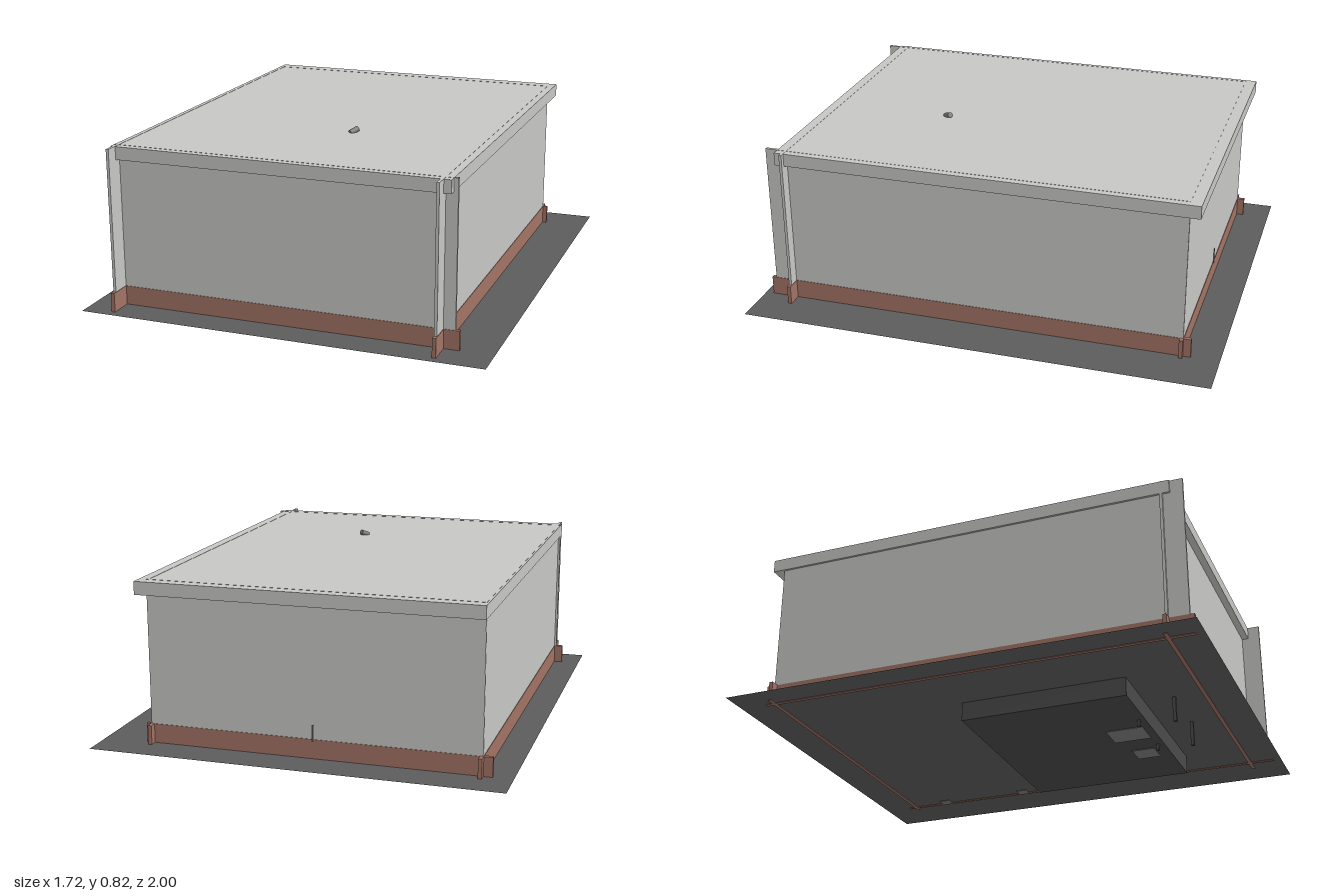
import * as THREE from 'three';

const mat = (name, color) => {
  const m = new THREE.MeshStandardMaterial({ color });
  m.name = name;
  return m;
};

export function createModel() {
  const model = new THREE.Group();
  model.name = 'house';
  const plaster = mat('plaster', 0xc6c6c4);
  const brick = mat('brick', 0xa17264);
  const paving = mat('paving', 0x5c5c5c);
  const concrete = mat('concrete', 0x4a4a4a);
  const metal = mat('metal', 0x808080);
  paving.side = THREE.DoubleSide;

  // Box given by its limits on each axis
  const box = (name, material, [x0, x1], [y0, y1], [z0, z1]) => {
    const mesh = new THREE.Mesh(new THREE.BoxGeometry(x1 - x0, y1 - y0, z1 - z0), material);
    mesh.position.set((x0 + x1) / 2, (y0 + y1) / 2, (z0 + z1) / 2);
    mesh.name = name;
    model.add(mesh);
    return mesh;
  };
  const around = (c, half) => [c - half, c + half];

  // Ground sheet
  const ground = new THREE.Mesh(new THREE.PlaneGeometry(1.72, 2), paving);
  ground.rotation.x = -Math.PI / 2;
  ground.position.set(-0.002, 0.109, 0);
  ground.name = 'ground';
  model.add(ground);

  // Side walls and their brick footings run past the front and back walls
  const wallY = [0.112, 0.797], brickY = [0.106, 0.19];
  for (const [side, x] of [['left', 0.645], ['right', -0.735]]) {
    box(side + 'Wall', plaster, around(x, 0.006), wallY, [-0.845, 0.946]);
    box(side + 'Footing', brick, around(x, 0.008), brickY, [-0.88, 0.965]);
  }

  // Front and back walls with footings
  box('frontWall', plaster, [-0.75, 0.7], wallY, around(0.857, 0.006));
  box('frontFooting', brick, [-0.78, 0.717], brickY, around(0.857, 0.008));
  box('backWall', plaster, [-0.74, 0.65], wallY, around(-0.841, 0.006));
  box('backFooting', brick, [-0.78, 0.672], brickY, around(-0.841, 0.008));

  // Flat roof slab
  box('roof', plaster, [-0.75, 0.682], [0.741, 0.796], [-0.895, 0.893]);

  // Sunken basement
  box('basement', concrete, [-0.463, 0.46], [0.028, 0.108], [-0.11, 0.603]);

  // Four thin posts below the floor
  for (const x of [-0.2, 0.08])
    for (const z of [0.575, 0.73])
      box('post', concrete, around(x, 0.007), [0, 0.108], around(z, 0.007));

  // Plates under the basement and along the left wall
  box('basementPlate', metal, around(-0.07, 0.065), [0.025, 0.03], around(0.49, 0.08));
  box('basementPlate', metal, around(0.16, 0.05), [0.025, 0.03], around(0.5, 0.05));
  for (const z of [-0.67, -0.263, 0, 0.395])
    box('floorPlate', metal, around(0.62, 0.018), [0.106, 0.11], around(z, z === 0 || z > 0.3 ? 0.045 : 0.025));

  // Small pin on the back wall
  box('backPin', concrete, around(-0.05, 0.004), [0.18, 0.25], [-0.85, -0.845]);

  // Tilted roof vent
  const vent = new THREE.Mesh(new THREE.CylinderGeometry(0.012, 0.012, 0.04, 12), metal);
  vent.rotation.set(0, 0.9, -1.2);
  vent.position.set(0.092, 0.803, 0.34);
  vent.name = 'roofVent';
  model.add(vent);

  return model;
}
